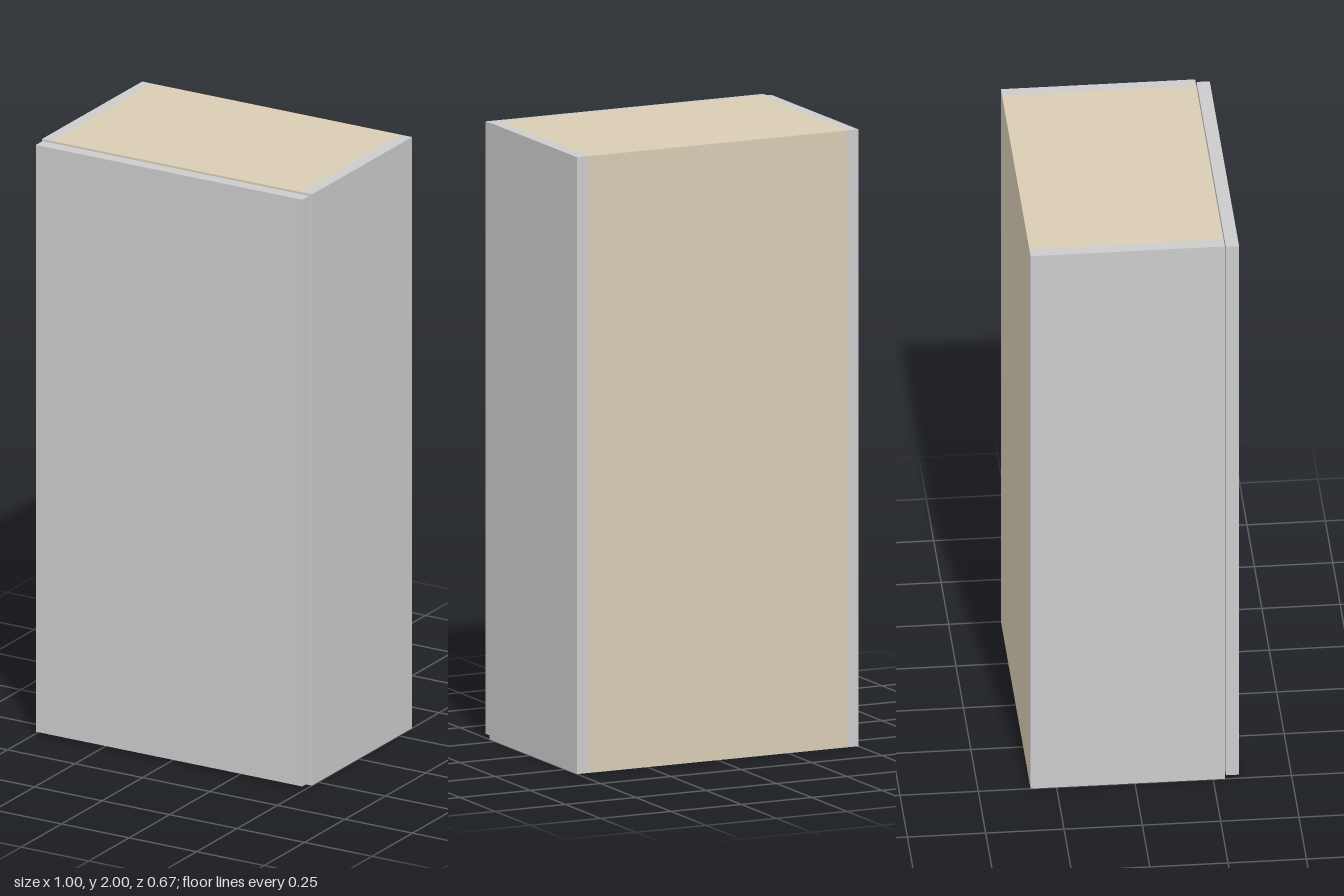
import * as THREE from 'three';

export function createModel() {
  const model = new THREE.Group();
  model.name = 'cabinet';
  const grey = new THREE.MeshStandardMaterial({ color: 0xcccccc });
  const wood = new THREE.MeshStandardMaterial({ color: 0xd9ccb4 });

  // Board spanning two opposite corners
  function board(name, material, [x0, y0, z0], [x1, y1, z1]) {
    const mesh = new THREE.Mesh(new THREE.BoxGeometry(x1 - x0, y1 - y0, z1 - z0), material);
    mesh.name = name;
    mesh.position.set((x0 + x1) / 2, (y0 + y1) / 2, (z0 + z1) / 2);
    model.add(mesh);
  }

  const t = 0.04; // board thickness
  const half = 0.5, inner = half - t;
  const height = 2, back = -0.333, front = 0.287;

  // Side panels, full height
  board('leftSide', grey, [inner, 0, back], [half, height, front]);
  board('rightSide', grey, [-half, 0, back], [-inner, height, front]);

  // Carcass boards held between the sides
  board('topPanel', wood, [-inner, height - t, back], [inner, height, front]);
  board('bottomPanel', wood, [-inner, 0, back], [inner, t, front]);
  board('backPanel', wood, [-inner, t, back], [inner, height - t, back + t]);

  // Door, slightly smaller than the carcass, with a thin gap behind it
  board('door', grey, [-0.495, 0.01, 0.291], [0.492, 1.995, 0.333]);

  return model;
}
